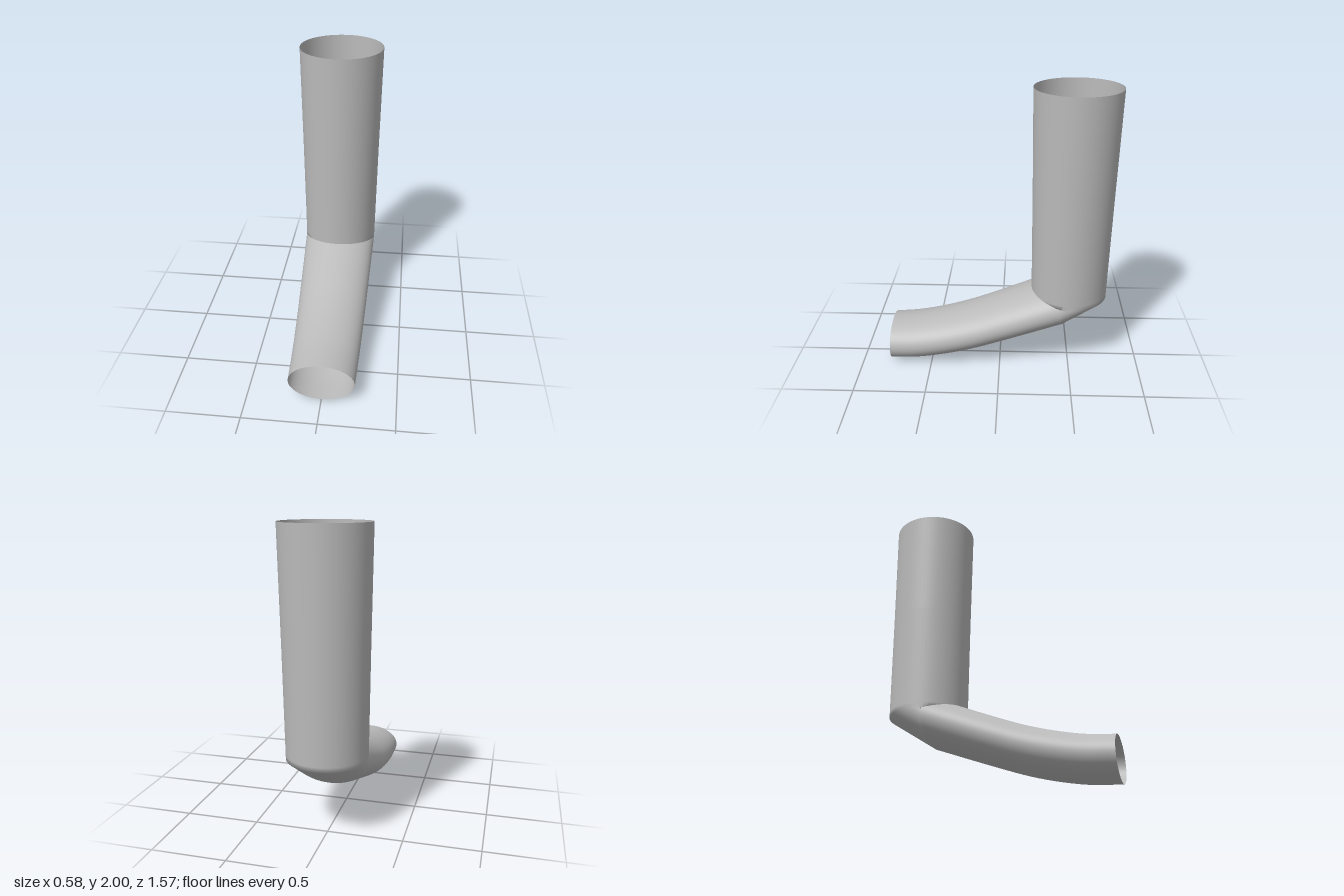
import * as THREE from 'three';

const SEGMENTS = 64;

// Upright ring across the arm: centre height, half width and half height at depth z
const armRing = (z, cy, w, h) => (a) => [w * Math.cos(a), cy + h * Math.sin(a), z];

// Level ring around the standing pipe; the arm's top continues into its front
const pipeRing = (y, cz, r) => (a) => [r * Math.cos(a), y, cz + r * Math.sin(a)];

// Joins consecutive closed rings into one smooth open tube
function loft(rings) {
  const positions = [];
  const index = [];
  rings.forEach((ring, i) => {
    for (let j = 0; j < SEGMENTS; j++) {
      positions.push(...ring((j / SEGMENTS) * Math.PI * 2));
      if (i === rings.length - 1) continue;
      const a = i * SEGMENTS + j;
      const b = i * SEGMENTS + ((j + 1) % SEGMENTS);
      index.push(a, a + SEGMENTS, b, b, a + SEGMENTS, b + SEGMENTS);
    }
  });
  const geometry = new THREE.BufferGeometry();
  geometry.setAttribute('position', new THREE.Float32BufferAttribute(positions, 3));
  geometry.setIndex(index);
  geometry.computeVertexNormals();
  return geometry;
}

export function createModel() {
  const group = new THREE.Group();
  group.name = 'bentPipe';
  const grey = new THREE.MeshStandardMaterial({ color: 0xbababa, side: THREE.DoubleSide });
  grey.name = 'grey';

  // Centre line of the curved arm, from the open mouth back to the elbow
  const zFront = 0.785;
  const zBack = -0.44;
  const path = new THREE.CatmullRomCurve3([
    [0.785, 0.145], [0.6, 0.158], [0.4, 0.195], [0.2, 0.25],
    [0, 0.322], [-0.23, 0.41], [-0.41, 0.48], [-0.44, 0.491],
  ].map(([z, y]) => new THREE.Vector3(0, y, z)), false, 'centripetal');

  const rings = [];
  const steps = 28;
  for (let i = 0; i <= steps; i++) {
    const p = path.getPoint(i / steps);
    const t = (zFront - p.z) / (zFront - zBack);
    rings.push(armRing(p.z, p.y, 0.222 + 0.042 * t, 0.145 + 0.025 * t));
  }

  // Standing pipe, widening slightly to its open top
  rings.push(
    pipeRing(0.525, -0.491, 0.265),
    pipeRing(0.56, -0.491, 0.2655),
    pipeRing(1.25, -0.494, 0.275),
    pipeRing(2, -0.497, 0.288),
  );

  const pipe = new THREE.Mesh(loft(rings), grey);
  pipe.name = 'pipe';
  group.add(pipe);
  return group;
}
